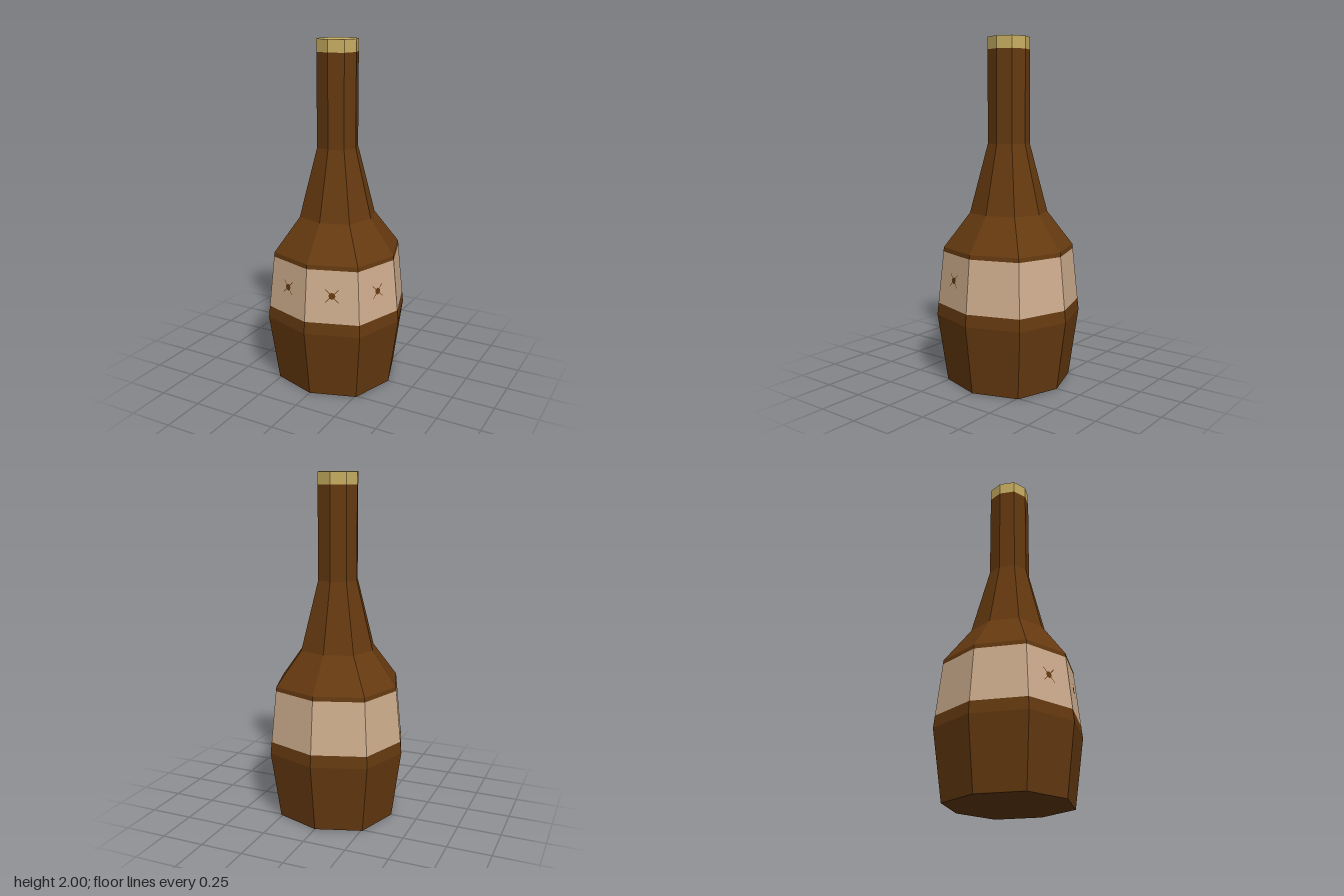
import * as THREE from 'three';
import { mergeGeometries } from 'three/addons/utils/BufferGeometryUtils.js';

const flat = (name, color) => new THREE.MeshStandardMaterial({ name, color, flatShading: true });

// Octagonal surface of revolution; profile is [radius, y] from bottom to top.
// Diagonal corners sit at (0.75 r, 0.75 r) instead of on the circle.
function octagonBand(profile) {
  const geo = new THREE.LatheGeometry(profile.map(([r, y]) => new THREE.Vector2(r, y)), 8);
  const pos = geo.attributes.position;
  for (let i = 0; i < pos.count; i++) {
    const x = pos.getX(i), z = pos.getZ(i);
    if (Math.abs(x) > 1e-4 && Math.abs(z) > 1e-4) {
      const k = 0.75 * Math.SQRT2;
      pos.setXYZ(i, x * k, pos.getY(i), z * k);
    }
  }
  geo.computeVertexNormals();
  return geo;
}

// Small dot with four thin diagonal rays, lying in the xy plane
function starGeometry() {
  const parts = [new THREE.CircleGeometry(0.02, 8)];
  for (const s of [-1, 1]) {
    parts.push(new THREE.PlaneGeometry(0.105, 0.004).rotateZ(s * Math.PI / 4));
  }
  return mergeGeometries(parts);
}

export function createModel() {
  const group = new THREE.Group();
  group.name = 'bottle';
  const glass = flat('brown glass', 0x663a10);
  const paper = flat('label paper', 0xcfae8e);
  const foil = flat('gold cap', 0xcbb063);

  const add = (name, geo, mat) => {
    const mesh = new THREE.Mesh(geo, mat);
    mesh.name = name;
    group.add(mesh);
    return mesh;
  };

  // Bottle from base to cap
  add('lowerBody', octagonBand([[0, 0], [0.345, 0], [0.4, 0.4], [0.393, 0.47]]), glass);
  add('label', octagonBand([[0.393, 0.47], [0.3625, 0.775]]), paper);
  add('shoulderAndNeck', octagonBand([[0.3625, 0.775], [0.36, 0.8], [0.215, 1], [0.115, 1.4], [0.115, 1.93]]), glass);
  add('cap', octagonBand([[0.115, 1.93], [0.115, 2], [0, 2]]), foil);

  // Star marks on three neighbouring label faces, each tilted with its face
  const star = starGeometry();
  const r = 0.377, d = r * 0.75, y = 0.63;
  const faces = [
    [[-d, d], [0, r]],
    [[0, r], [d, d]],
    [[d, d], [r, 0]],
  ];
  for (const [a, b] of faces) {
    const centre = new THREE.Vector3((a[0] + b[0]) / 2, y, (a[1] + b[1]) / 2);
    const across = new THREE.Vector3(b[0] - a[0], 0, b[1] - a[1]).normalize();
    const slope = -0.1 / r; // inward taper of the label per unit height
    const up = new THREE.Vector3(centre.x * slope, 1, centre.z * slope);
    const normal = across.clone().cross(up).normalize();
    up.crossVectors(normal, across);
    const mark = add('labelStar', star, glass);
    mark.quaternion.setFromRotationMatrix(new THREE.Matrix4().makeBasis(across, up, normal));
    mark.position.copy(centre).addScaledVector(normal, 0.002);
  }
  return group;
}
